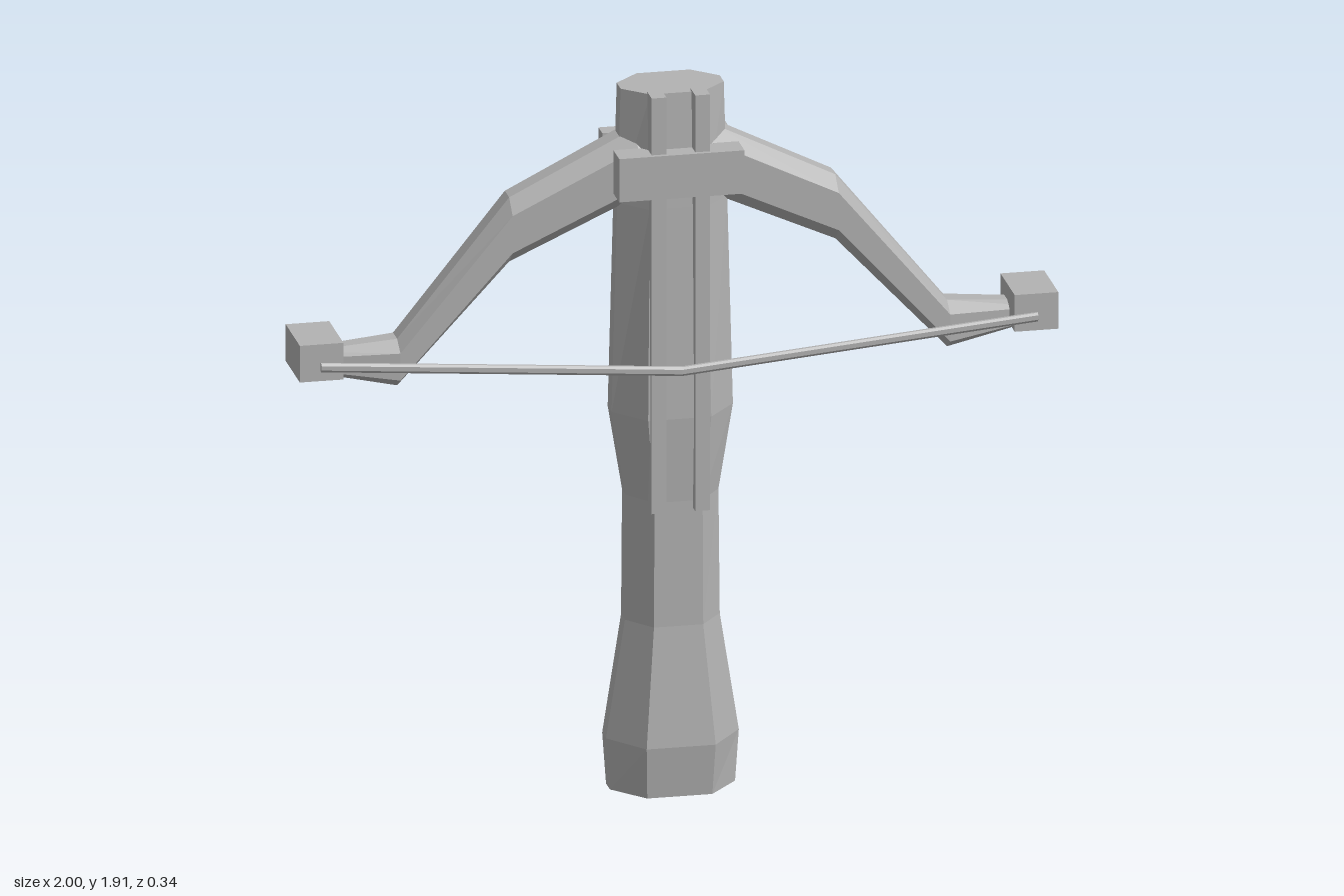
import * as THREE from 'three';

const grey = new THREE.MeshStandardMaterial({ color: 0xb2b2b2, flatShading: true });
grey.name = 'plain grey';

// Octagon corners in a (u, v) plane: half sizes hu, hv and half flats fu, fv
const octagon = (hu, hv, fu, fv) => [
  [hu, -fv], [hu, fv], [fu, hv], [-fu, hv], [-hu, fv], [-hu, -fv], [-fu, -hv], [fu, -hv],
];

// Skin a list of rings (running along u x v) and cap both ends
function loft(rings) {
  const pos = [];
  const tri = (...points) => points.forEach((p) => pos.push(...p));
  const n = rings[0].length;
  for (let r = 0; r < rings.length - 1; r++) {
    const a = rings[r], b = rings[r + 1];
    for (let i = 0; i < n; i++) {
      const j = (i + 1) % n;
      tri(a[i], a[j], b[j]);
      tri(a[i], b[j], b[i]);
    }
  }
  const first = rings[0], last = rings[rings.length - 1];
  for (let i = 1; i < n - 1; i++) {
    tri(first[0], first[i + 1], first[i]);
    tri(last[0], last[i], last[i + 1]);
  }
  const geometry = new THREE.BufferGeometry();
  geometry.setAttribute('position', new THREE.Float32BufferAttribute(pos, 3));
  geometry.computeVertexNormals();
  return geometry;
}

export function createModel() {
  const model = new THREE.Group();
  model.name = 'crossbow';

  const add = (name, geometry) => {
    const mesh = new THREE.Mesh(geometry, grey);
    mesh.name = name;
    model.add(mesh);
    return mesh;
  };
  // Box given by its extents
  const box = (name, x0, x1, y0, y1, z0, z1) =>
    add(name, new THREE.BoxGeometry(x1 - x0, y1 - y0, z1 - z0))
      .position.set((x0 + x1) / 2, (y0 + y1) / 2, (z0 + z1) / 2);

  // Stock: y, half width, back z, front z
  const stock = [
    [0, 0.165, -0.095, 0.133],
    [0.14, 0.175, -0.113, 0.15],
    [0.46, 0.125, -0.083, 0.118],
    [0.8, 0.122, -0.087, 0.118],
    [1.03, 0.16, -0.1, 0.132],
    [1.6, 0.145, -0.083, 0.115],
    [1.91, 0.136, -0.07, 0.1],
  ];
  add('stock', loft(stock.map(([y, hx, z0, z1]) =>
    octagon((z1 - z0) / 2, hx, 0.024, hx * 0.52).map(([u, v]) => [v, y, (z0 + z1) / 2 + u]))));

  // Bow limbs: x, bottom y, top y, half depth; mirrored into one skin
  const half = [
    [0.1, 1.61, 1.8, 0.074],
    [0.43, 1.46, 1.635, 0.07],
    [0.725, 1.143, 1.27, 0.066],
    [0.97, 1.196, 1.25, 0.04],
  ];
  const limbs = [...half.map(([x, ...rest]) => [-x, ...rest]).reverse(), ...half];
  add('bowLimbs', loft(limbs.map(([x, y0, y1, hz]) => {
    const hy = (y1 - y0) / 2;
    return octagon(hy, hz, hy * 0.58, hz * 0.38).map(([u, v]) => [x, (y0 + y1) / 2 + u, 0.013 + v]);
  })));

  // Clamp plates holding the bow to the stock
  box('frontClamp', -0.165, 0.165, 1.642, 1.76, 0.085, 0.158);
  box('backClamp', -0.165, 0.165, 1.642, 1.76, -0.097, -0.05);

  // Paired rails and limb tips
  for (const [side, s] of [['right', -1], ['left', 1]]) {
    const span = (a, b) => (s > 0 ? [a, b] : [-b, -a]);
    box(side + 'Rail', ...span(0.038, 0.077), 0.78, 1.915, 0.09, 0.146);
    box(side + 'LimbTip', ...span(0.885, 1), 1.2, 1.3, -0.05, 0.124);
  }

  // Bowstring, drawn forward at the middle
  const string = [[-0.945, 1.238, 0.126], [0, 1.17, 0.16], [0.945, 1.238, 0.126]];
  add('bowstring', loft(string.map(([x, y, z]) =>
    octagon(0.012, 0.008, 0.006, 0.004).map(([u, v]) => [x, y + u, z + v]))));

  // Trigger
  box('trigger', -0.036, 0.036, 0.86, 0.926, -0.175, -0.07);

  return model;
}
